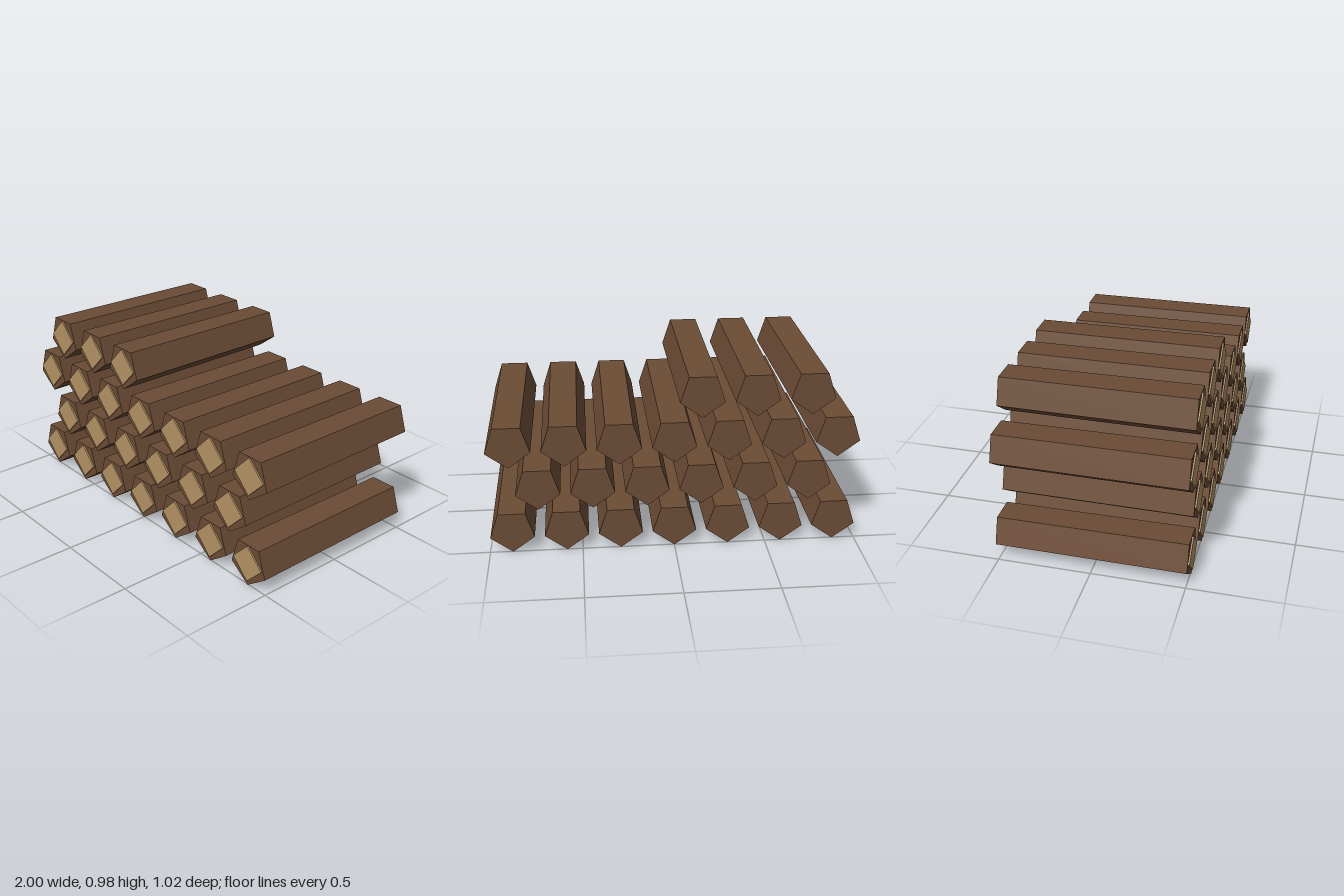
import * as THREE from 'three';

const SPACING = 0.292, ROW_HEIGHT = 0.248, BASE_Y = 0.133;
const FRONT = 0.505, BACK = -0.512, CAP_FRONT = 0.513, CAP_BACK = 0.493;

// Low-poly prism lying along z, one corner pointing down
function prism(frontRadius, backRadius, sides, front, back) {
  const geometry = new THREE.CylinderGeometry(frontRadius, backRadius, front - back, sides);
  geometry.rotateX(Math.PI / 2);
  geometry.translate(0, 0, (front + back) / 2);
  return geometry;
}

export function createModel() {
  const pile = new THREE.Group();
  pile.name = 'logPile';

  const bark = new THREE.MeshStandardMaterial({ color: 0x6b4c35, flatShading: true });
  const cutWood = new THREE.MeshStandardMaterial({ color: 0xb59364, flatShading: true });
  const logGeometry = prism(0.13, 0.125, 5, FRONT, BACK);
  const capGeometry = prism(0.104, 0.104, 4, CAP_FRONT, CAP_BACK);

  // Staggered rows from the ground up; the top row is only half filled
  const rows = [
    { count: 7, start: -3 },
    { count: 6, start: -2.5 },
    { count: 7, start: -3 },
    { count: 3, start: -2.5 },
  ];

  rows.forEach(({ count, start }, row) => {
    for (let i = 0; i < count; i++) {
      const log = new THREE.Group();
      log.name = `log_${row + 1}_${i + 1}`;
      log.position.set((start + i) * SPACING, BASE_Y + row * ROW_HEIGHT, 0);

      // Tapered five-sided trunk
      const trunk = new THREE.Mesh(logGeometry, bark);
      trunk.name = 'trunk';

      // Pale cut face on the front end
      const cutEnd = new THREE.Mesh(capGeometry, cutWood);
      cutEnd.name = 'cutEnd';

      log.add(trunk, cutEnd);
      pile.add(log);
    }
  });

  return pile;
}
